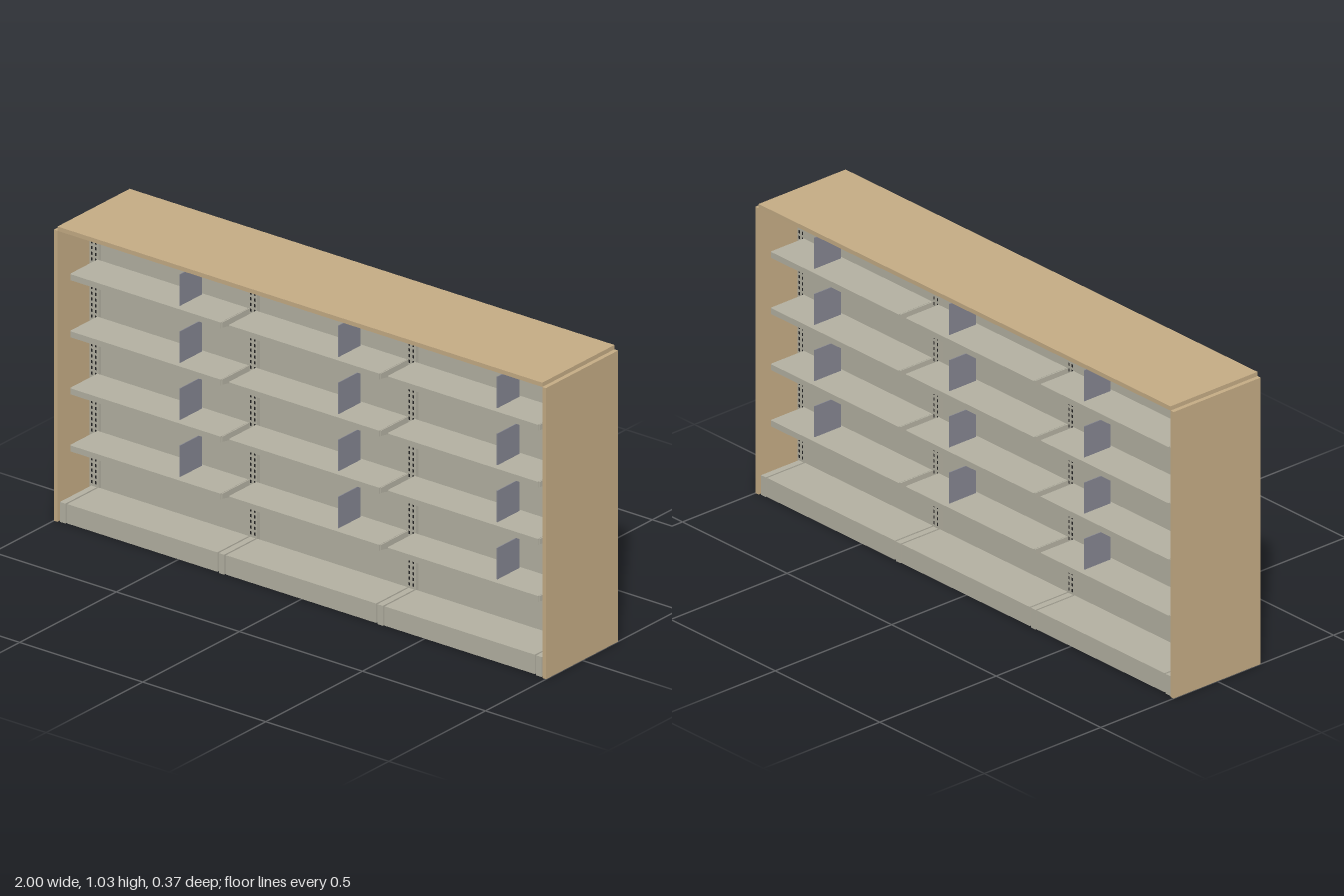
import * as THREE from 'three';
import { mergeGeometries } from 'three/addons/utils/BufferGeometryUtils.js';

const PITCH = 0.645;              // distance between uprights
const BAY_W = 0.61;               // clear width of one bay
const SHELF_TOPS = [0.27, 0.47, 0.67, 0.87];
const BAYS = [-PITCH, 0, PITCH];
const POSTS = [-1.5, -0.5, 0.5, 1.5].map(i => i * PITCH);

const wood = new THREE.MeshStandardMaterial({ color: 0xc4ab84 });
wood.name = 'lightWood';
const steel = new THREE.MeshStandardMaterial({ color: 0xb3b0a1 });
steel.name = 'greySteel';
const blue = new THREE.MeshStandardMaterial({ color: 0x83848f });
blue.name = 'blueGreySteel';
const dark = new THREE.MeshStandardMaterial({ color: 0x222222 });
dark.name = 'slotDark';

// Box given by its limits on each axis
function span(x0, x1, y0, y1, z0, z1) {
  const g = new THREE.BoxGeometry(x1 - x0, y1 - y0, z1 - z0);
  return g.translate((x0 + x1) / 2, (y0 + y1) / 2, (z0 + z1) / 2);
}

function add(parent, name, material, ...geometries) {
  const g = geometries.length > 1 ? mergeGeometries(geometries) : geometries[0];
  const mesh = new THREE.Mesh(g, material);
  mesh.name = name;
  parent.add(mesh);
  return mesh;
}

// Curved support plate, deep at the post and shallow at the shelf front
function bracketGeometry() {
  const s = new THREE.Shape();
  s.moveTo(-0.02, 0);
  s.lineTo(-0.16, 0);
  s.lineTo(-0.16, -0.018);
  s.quadraticCurveTo(-0.07, -0.03, -0.035, -0.092);
  s.lineTo(-0.02, -0.092);
  s.closePath();
  const g = new THREE.ExtrudeGeometry(s, { depth: 0.004, bevelEnabled: false, curveSegments: 8 });
  return g.translate(0, 0, -0.002).rotateY(Math.PI / 2);
}

// Pressed shelf: thin top with turned-down front and back lips
function addShelf(parent, x, top) {
  const a = x - BAY_W / 2, b = x + BAY_W / 2;
  add(parent, 'shelf', steel,
    span(a, b, top - 0.004, top, 0.022, 0.165),
    span(a, b, top - 0.021, top - 0.004, 0.161, 0.165),
    span(a, b, top - 0.021, top - 0.004, 0.022, 0.026));
  for (const end of [a - 0.002, b + 0.002]) {
    const m = add(parent, 'shelfBracket', steel, bracketGeometry());
    m.position.set(end, top - 0.001, 0);
  }
}

// Base shelf, open underneath
function addBase(parent, x) {
  const a = x - BAY_W / 2, b = x + BAY_W / 2;
  add(parent, 'baseShelf', steel,
    span(a, b, 0.066, 0.07, 0.018, 0.181),
    span(a, b, 0.002, 0.066, 0.177, 0.181),
    span(a, b, 0.002, 0.066, 0.018, 0.022),
    span(a, a + 0.004, 0.002, 0.066, 0.022, 0.177),
    span(b - 0.004, b, 0.002, 0.066, 0.022, 0.177));
}

// Two columns of slots on the face of a post
function addSlots(parent, x) {
  const slots = [];
  for (const dx of [-0.008, 0.008]) {
    for (let y = 0.085; y < 0.975; y += 0.02) {
      slots.push(new THREE.PlaneGeometry(0.006, 0.011).translate(x + dx, y, 0.0208));
    }
  }
  add(parent, 'postSlots', dark, ...slots);
}

// Everything on one face of the unit
function buildFace(sign) {
  const face = new THREE.Group();
  face.name = sign > 0 ? 'frontFace' : 'backFace';
  for (const x of BAYS) {
    addBase(face, x);
    const bx = x + sign * 0.122;
    for (const top of SHELF_TOPS) {
      addShelf(face, x, top);
      add(face, 'bookend', blue, span(bx - 0.0015, bx + 0.0015, top, top + 0.11, 0.03, 0.143));
    }
  }
  for (const x of POSTS) {
    addSlots(face, x);
    add(face, 'postFoot', steel, span(x - 0.011, x + 0.011, 0, 0.07, 0.02, 0.182));
  }
  if (sign < 0) face.rotation.y = Math.PI;
  return face;
}

export function createModel() {
  const model = new THREE.Group();
  model.name = 'doubleSidedBookcase';

  // Wooden casing
  add(model, 'topPanel', wood, span(-0.985, 0.985, 1.02, 1.035, -0.187, 0.187));
  for (const s of [-1, 1]) {
    const m = add(model, 'endPanel', wood, new THREE.BoxGeometry(0.015, 1.02, 0.374));
    m.position.set(s * 0.9925, 0.51, 0);
  }

  // Steel frame along the middle
  for (const x of POSTS) {
    add(model, 'post', steel, span(x - 0.0175, x + 0.0175, 0, 1.018, -0.02, 0.02));
  }
  for (const x of BAYS) {
    const a = x - BAY_W / 2, b = x + BAY_W / 2;
    add(model, 'backPanel', steel, span(a, b, 0.01, 0.99, -0.006, 0.006));
    add(model, 'topRail', steel, span(a, b, 0.99, 1.016, -0.018, 0.018));
  }

  model.add(buildFace(1), buildFace(-1));
  return model;
}
